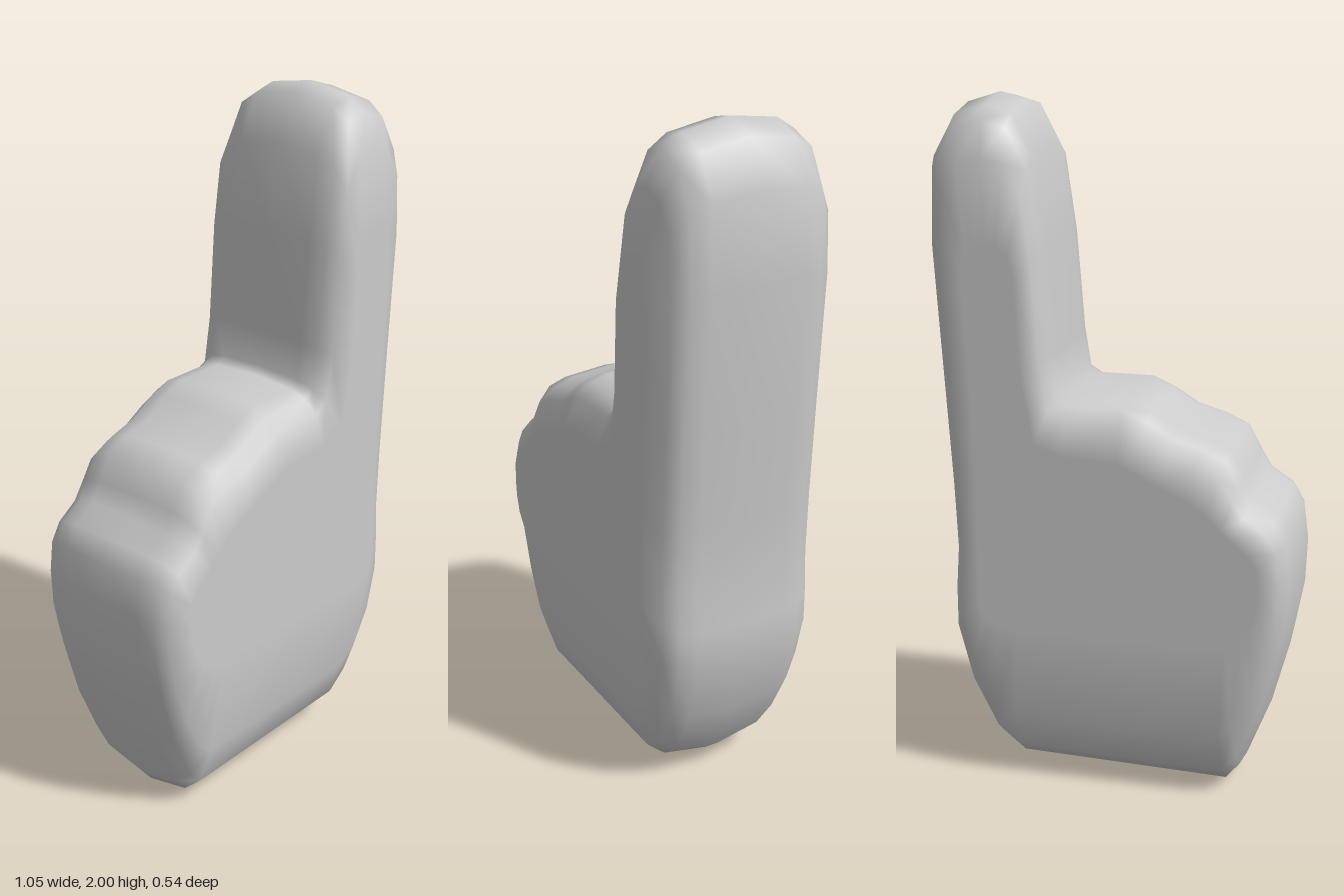
import * as THREE from 'three';

// Each entry: silhouette point (x, y) and the matching point on the flat face (x, y)
const OUTLINE = [
  [-0.34, 0.00, -0.31, 0.50], [-0.03, 0.01, 0.00, 0.50], [0.28, 0.02, 0.26, 0.50],
  [0.35, 0.08, 0.32, 0.51], [0.43, 0.25, 0.36, 0.53], [0.48, 0.44, 0.37, 0.58],
  [0.48, 0.57, 0.37, 0.66], [0.47, 0.70, 0.37, 0.75], [0.48, 0.90, 0.37, 0.92],
  [0.50, 1.20, 0.38, 1.20], [0.525, 1.60, 0.40, 1.54], [0.52, 1.85, 0.385, 1.59],
  [0.455, 1.97, 0.36, 1.61], [0.36, 2.00, 0.33, 1.62], [0.285, 1.98, 0.295, 1.61],
  [0.22, 1.85, 0.265, 1.59], [0.185, 1.60, 0.25, 1.52], [0.16, 1.30, 0.235, 1.25],
  [0.145, 1.20, 0.20, 1.06], [0.12, 1.18, 0.12, 1.03], [-0.04, 1.18, -0.04, 1.02],
  [-0.11, 1.15, -0.10, 0.99], [-0.18, 1.105, -0.16, 0.96], [-0.27, 1.08, -0.23, 0.93],
  [-0.34, 1.05, -0.29, 0.89], [-0.38, 0.97, -0.33, 0.85], [-0.41, 0.915, -0.36, 0.82],
  [-0.48, 0.87, -0.41, 0.78], [-0.515, 0.81, -0.435, 0.74], [-0.53, 0.70, -0.44, 0.68],
  [-0.525, 0.56, -0.435, 0.62], [-0.50, 0.42, -0.42, 0.57], [-0.45, 0.23, -0.39, 0.53],
  [-0.38, 0.05, -0.35, 0.51],
];

// Edge rounding: [share of the way from silhouette to face, depth]
const HALF = [[0, 0], [0.06, 0.14], [0.16, 0.195], [0.4, 0.235], [1, 0.27]];

function roundedSlab(outline, half) {
  const n = outline.length;
  const rings = [
    ...half.slice(1).reverse().map(([t, z]) => [t, -z]),
    ...half,
  ];
  const pos = [], idx = [];
  for (const [t, z] of rings) {
    for (const [ox, oy, ix, iy] of outline) {
      pos.push(ox + (ix - ox) * t, oy + (iy - oy) * t, z);
    }
  }
  // Rounded sides
  for (let r = 0; r < rings.length - 1; r++) {
    for (let i = 0; i < n; i++) {
      const j = (i + 1) % n;
      const a = r * n + i, b = r * n + j, c = a + n, d = b + n;
      idx.push(a, b, d, a, d, c);
    }
  }
  // Flat front and back
  const last = (rings.length - 1) * n;
  const face = outline.map((p) => new THREE.Vector2(p[2], p[3]));
  for (const [a, b, c] of THREE.ShapeUtils.triangulateShape(face, [])) {
    idx.push(last + a, last + b, last + c, c, b, a);
  }
  const geo = new THREE.BufferGeometry();
  geo.setAttribute('position', new THREE.Float32BufferAttribute(pos, 3));
  geo.setIndex(idx);
  geo.computeVertexNormals();
  // Keep the flat faces evenly shaded
  for (let i = 0; i < n; i++) {
    geo.attributes.normal.setXYZ(i, 0, 0, -1);
    geo.attributes.normal.setXYZ(last + i, 0, 0, 1);
  }
  return geo;
}

export function createModel() {
  const group = new THREE.Group();
  group.name = 'foamHand';
  const material = new THREE.MeshStandardMaterial({ color: 0xcccccc });
  // Fist with stepped knuckles and raised finger, one continuous foam piece
  const hand = new THREE.Mesh(roundedSlab(OUTLINE, HALF), material);
  hand.name = 'pointingHand';
  group.add(hand);
  return group;
}
